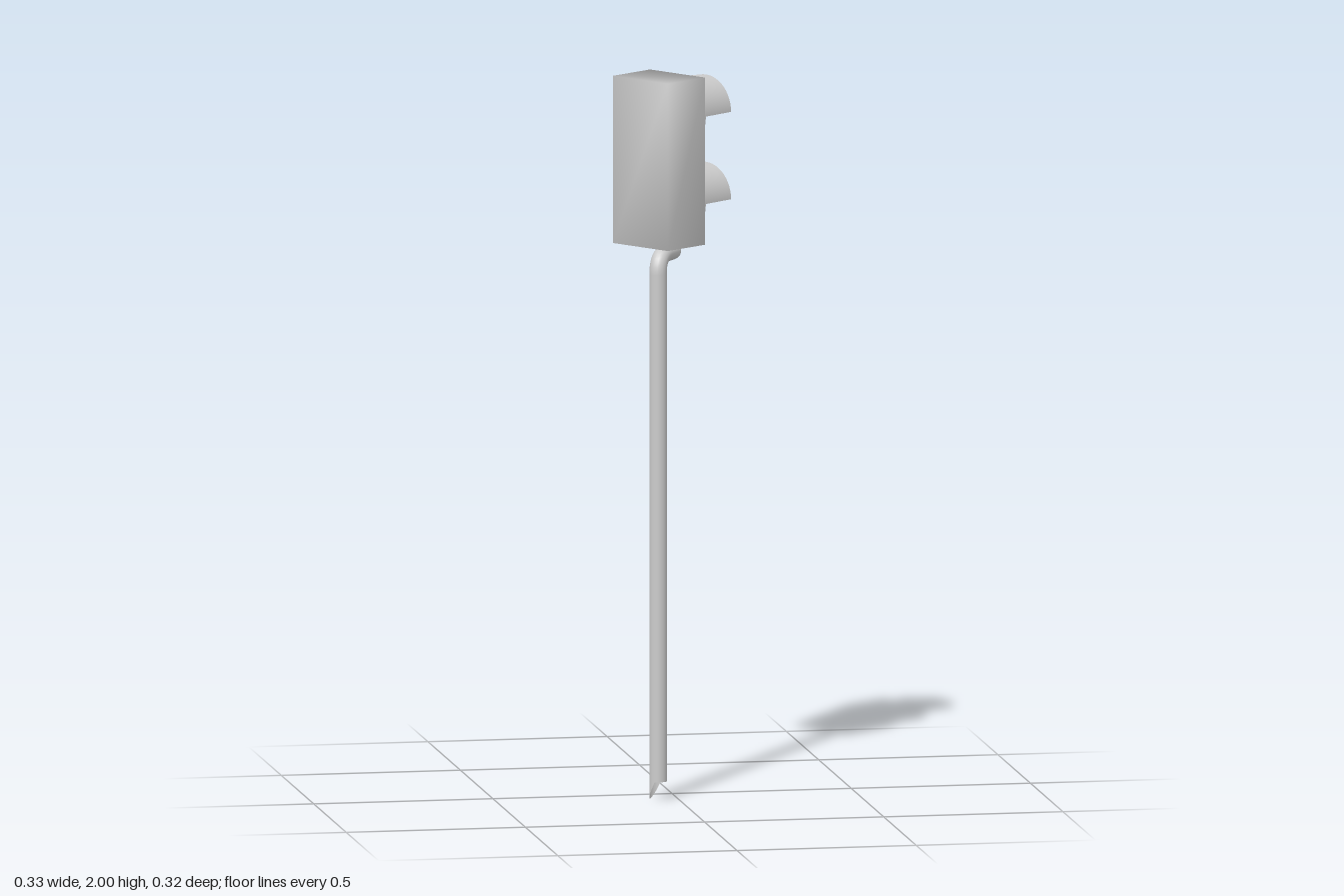
import * as THREE from 'three';
import { mergeVertices } from 'three/addons/utils/BufferGeometryUtils.js';

const grey = new THREE.MeshStandardMaterial({ color: 0xcccccc });
const thin = new THREE.MeshStandardMaterial({ color: 0xcccccc, side: THREE.DoubleSide });

function add(parent, name, geometry, material = grey) {
  const mesh = new THREE.Mesh(geometry, material);
  mesh.name = name;
  parent.add(mesh);
  return mesh;
}

// Box whose corners share normals, for soft shading across the edges
function softBox(w, h, d) {
  const geo = new THREE.BoxGeometry(w, h, d);
  geo.deleteAttribute('normal');
  geo.deleteAttribute('uv');
  const merged = mergeVertices(geo);
  merged.computeVertexNormals();
  return merged;
}

// Signal head, local +z is the lamp side
function createHead() {
  const head = new THREE.Group();
  head.name = 'signalHead';
  add(head, 'housing', softBox(0.206, 0.465, 0.15)).position.set(0, 1.7675, -0.053);

  [['upper', 1.89], ['lower', 1.647]].forEach(([level, y]) => {
    // Round lens lying on the housing face
    const lens = new THREE.CylinderGeometry(0.099, 0.099, 0.01, 32).rotateX(Math.PI / 2);
    add(head, level + 'Lens', lens).position.set(0, y, 0.025);

    // Half-round hood, slightly narrower at its open front
    const hood = new THREE.CylinderGeometry(0.094, 0.1, 0.116, 24, 1, true, Math.PI / 2, Math.PI);
    hood.rotateX(Math.PI / 2);
    add(head, level + 'Visor', hood, thin).position.set(0, y, 0.079);
  });
  return head;
}

// Pole with a bent top, local +z is the direction of the bend
function createPole() {
  const pole = new THREE.Group();
  pole.name = 'pole';
  const r = 0.024, top = 1.46, axis = 1.511;

  // Straight shaft, its open foot drawn down to a point on one side
  const shaft = new THREE.CylinderGeometry(r, r, top, 20, 1, true).translate(0, top / 2, 0);
  const pos = shaft.attributes.position;
  for (let i = 0; i < pos.count; i++) {
    if (pos.getY(i) < 0.01) pos.setY(i, 0.05 * (1 - Math.max(0, pos.getX(i) / r)));
  }
  add(pole, 'shaft', shaft, thin);

  // Elbow and short arm reaching under the housing
  const path = new THREE.CurvePath();
  const bendEnd = new THREE.Vector3(0, axis, 0.05);
  path.add(new THREE.QuadraticBezierCurve3(
    new THREE.Vector3(0, top, 0), new THREE.Vector3(0, axis, 0), bendEnd));
  path.add(new THREE.LineCurve3(bendEnd, new THREE.Vector3(0, axis, 0.102)));
  add(pole, 'elbow', new THREE.TubeGeometry(path, 16, r, 20), thin);
  add(pole, 'armCap', new THREE.CircleGeometry(r, 20)).position.set(0, axis, 0.102);
  return pole;
}

export function createModel() {
  const model = new THREE.Group();
  model.name = 'trafficSignal';

  const head = createHead();
  head.rotation.y = Math.atan2(0.8, -0.6);
  model.add(head);

  const pole = createPole();
  pole.position.set(-0.055, 0, 0.088);
  pole.rotation.y = Math.atan2(0.56, -0.83);
  model.add(pole);

  return model;
}
